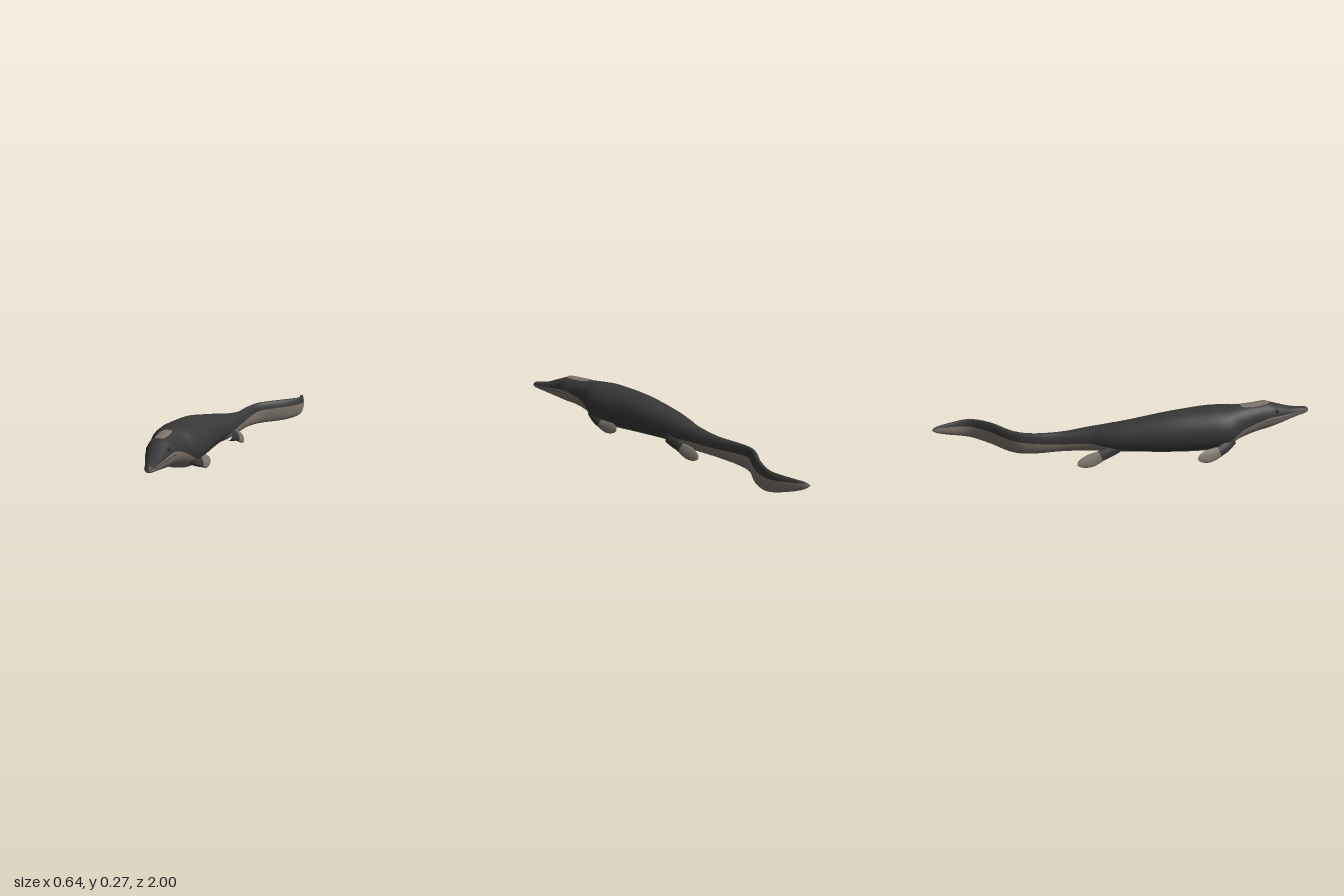
import * as THREE from 'three';

const dark = new THREE.MeshStandardMaterial({ color: 0x383838 });
dark.name = 'dark back skin';
const pale = new THREE.MeshStandardMaterial({ color: 0x7d746c });
pale.name = 'pale belly skin';
const black = new THREE.MeshStandardMaterial({ color: 0x161616 });
black.name = 'eye black';

// Body stations, snout to tail tip: z, centre x, half width, top y, bottom y, y of the colour line
const BODY = [
  [1.0, -0.155, 0.016, 0.2, 0.172, 0.188],
  [0.9, -0.157, 0.036, 0.215, 0.155, 0.193],
  [0.81, -0.165, 0.054, 0.246, 0.136, 0.199],
  [0.74, -0.168, 0.068, 0.269, 0.123, 0.204],
  [0.67, -0.171, 0.069, 0.269, 0.112, 0.188],
  [0.58, -0.17, 0.085, 0.268, 0.088, 0.16],
  [0.5, -0.165, 0.122, 0.27, 0.058, 0.115],
  [0.4, -0.153, 0.124, 0.273, 0.04, 0.08],
  [0.2, -0.128, 0.108, 0.256, 0.044, 0.07],
  [0.0, -0.088, 0.087, 0.22, 0.053, 0.076],
  [-0.1, -0.058, 0.076, 0.2, 0.05, 0.098],
  [-0.2, -0.024, 0.054, 0.181, 0.05, 0.108],
  [-0.35, 0.005, 0.033, 0.16, 0.048, 0.103],
  [-0.5, 0.033, 0.026, 0.158, 0.041, 0.11],
  [-0.6, 0.085, 0.024, 0.163, 0.038, 0.119],
  [-0.7, 0.214, 0.023, 0.166, 0.041, 0.125],
  [-0.8, 0.294, 0.019, 0.161, 0.055, 0.126],
  [-0.92, 0.296, 0.014, 0.149, 0.085, 0.133],
  [-1.0, 0.283, 0.009, 0.139, 0.115, 0.135],
];
const LAST = BODY.length - 1;
const curve = (f) => new THREE.CatmullRomCurve3(BODY.map(f), false, 'catmullrom', 0.5);
const spine = curve((r) => new THREE.Vector3(r[1], 0, r[0]));
const girth = curve((r) => new THREE.Vector3(r[2], r[3], r[4]));
const tide = curve((r) => new THREE.Vector3(r[5], 0, 0));

// Cross-section of the body at station number s (fractions allowed), rounded off at both tips
function section(s) {
  const t = s / LAST;
  const c = spine.getPoint(t);
  const T = spine.getTangent(t);
  const g = girth.getPoint(t);
  const e = Math.min(1, s / 0.2, (LAST - s) / 0.5);
  const tip = Math.max(0.04, Math.sqrt(1 - (1 - e) ** 2));
  const mid = g.z + (g.y - g.z) * 0.46;
  const up = (g.y - mid) * tip, down = (mid - g.z) * tip;
  const d = (tide.getPoint(t).x - mid) * tip;
  const line = Math.asin(THREE.MathUtils.clamp(d / (d > 0 ? up : down), -0.95, 0.95));
  const point = (a, grow = 0) => {
    const cs = Math.cos(a), sn = Math.sin(a);
    const w = Math.sign(cs) * Math.abs(cs) ** 0.88 * (g.x * tip + grow);
    return new THREE.Vector3(c.x - T.z * w, mid + sn * ((sn > 0 ? up : down) + grow), c.z + T.x * w);
  };
  return { line, point };
}

// Skin over rings of points; pick(i, j) gives the material number of each quad
function loft(rings, pick, materials, closed = true) {
  const n = rings[0].length;
  const lists = materials.map(() => []);
  for (let i = 0; i < rings.length - 1; i++) {
    for (let j = 0; j < (closed ? n : n - 1); j++) {
      const k = (j + 1) % n;
      const a = i * n + j, b = a + n, c = i * n + k, d = c + n;
      lists[pick(i, j)].push(a, b, c, b, d, c);
    }
  }
  const geo = new THREE.BufferGeometry().setFromPoints(rings.flat());
  geo.setIndex(lists.flat());
  let start = 0;
  lists.forEach((l, m) => {
    geo.addGroup(start, l.length, m);
    start += l.length;
  });
  geo.computeVertexNormals();
  return new THREE.Mesh(geo, materials);
}

// Body, head and tail in one skin, split into back and belly along the colour line
function makeBody() {
  const half = 16, rings = [];
  for (let i = 0; i <= LAST * 10; i++) {
    const { line, point } = section(i / 10);
    const ring = [];
    for (let j = 0; j < half; j++) ring.push(point(line + (Math.PI - 2 * line) * (j / half)));
    for (let j = 0; j < half; j++) ring.push(point(Math.PI - line + (Math.PI + 2 * line) * (j / half)));
    rings.push(ring);
  }
  return loft(rings, (i, j) => (j < half ? 0 : 1), [dark, pale]);
}

// Pale patch lying on the crown of the head
function makePatch() {
  const rings = [];
  for (let i = 0; i <= 16; i++) {
    const u = i / 16;
    const { point } = section(2.85 + 2.05 * u);
    const spread = 0.02 + 0.36 * Math.sin(Math.PI * (0.06 + 0.88 * u)) ** 0.4;
    rings.push(Array.from({ length: 9 }, (_, j) => point(Math.PI / 2 + spread * (j / 4 - 1), 0.003)));
  }
  return loft(rings, () => 0, [pale], false);
}

// Leaf-shaped flipper: thick dark root, narrow wrist, thin pale rounded blade
function makeFlipper(path, side) {
  const line = new THREE.CatmullRomCurve3(path.map((p) => new THREE.Vector3(...p)));
  const rings = [];
  for (let i = 0; i <= 24; i++) {
    const u = Math.sin((i / 24) * Math.PI / 2);
    const round = Math.max(0.02, Math.sqrt(1 - Math.max(0, (u - 0.6) / 0.4) ** 2));
    const chord = 0.036 * (1 - 0.2 * Math.exp(-(((u - 0.38) / 0.2) ** 2))) * round;
    const thick = (0.026 - 0.018 * Math.sqrt(u)) * round;
    const c = line.getPoint(u), T = line.getTangent(u);
    const W = new THREE.Vector3(side, 0.4, 0);
    W.addScaledVector(T, -W.dot(T)).normalize();
    const U = new THREE.Vector3().crossVectors(T, W);
    rings.push(Array.from({ length: 16 }, (_, j) => {
      const a = (j / 16) * Math.PI * 2;
      return c.clone().addScaledVector(U, Math.cos(a) * chord).addScaledVector(W, Math.sin(a) * thick);
    }));
  }
  return loft(rings, (i) => (i < 7 ? 0 : 1), [dark, pale]);
}

export function createModel() {
  const model = new THREE.Group();
  model.name = 'marineReptile';
  const add = (mesh, name) => {
    mesh.name = name;
    model.add(mesh);
  };
  add(makeBody(), 'body');
  add(makePatch(), 'crownPatch');

  // Front flippers mirrored about the chest, eyes and mouth lines mirrored on the head
  for (const side of [1, -1]) {
    const word = side > 0 ? 'left' : 'right';
    const front = [[0.082, 0.118, 0.51], [0.115, 0.082, 0.45], [0.13, 0.064, 0.38], [0.142, 0.06, 0.305]];
    add(makeFlipper(front.map(([x, y, z]) => [-0.168 + side * x, y, z]), side), word + 'FrontFlipper');

    const eye = new THREE.Mesh(new THREE.SphereGeometry(0.009, 14, 10), black);
    eye.position.copy(section(2.4).point(side > 0 ? 0.62 : Math.PI - 0.62, -0.003));
    add(eye, word + 'Eye');

    const lip = Array.from({ length: 10 }, (_, i) => {
      const { line, point } = section(0.3 + i * 0.36);
      const a = line - 0.22;
      return point(side > 0 ? a : Math.PI - a);
    });
    add(new THREE.Mesh(new THREE.TubeGeometry(new THREE.CatmullRomCurve3(lip), 30, 0.0022, 6), dark), word + 'MouthLine');
  }

  // Rear flippers follow the bend of the hips
  add(makeFlipper([[-0.005, 0.095, -0.06], [0.022, 0.072, -0.13], [0.037, 0.048, -0.2], [0.045, 0.03, -0.265]], 1), 'leftRearFlipper');
  add(makeFlipper([[-0.105, 0.088, -0.08], [-0.122, 0.062, -0.15], [-0.129, 0.04, -0.22], [-0.134, 0.028, -0.3]], -1), 'rightRearFlipper');
  return model;
}
